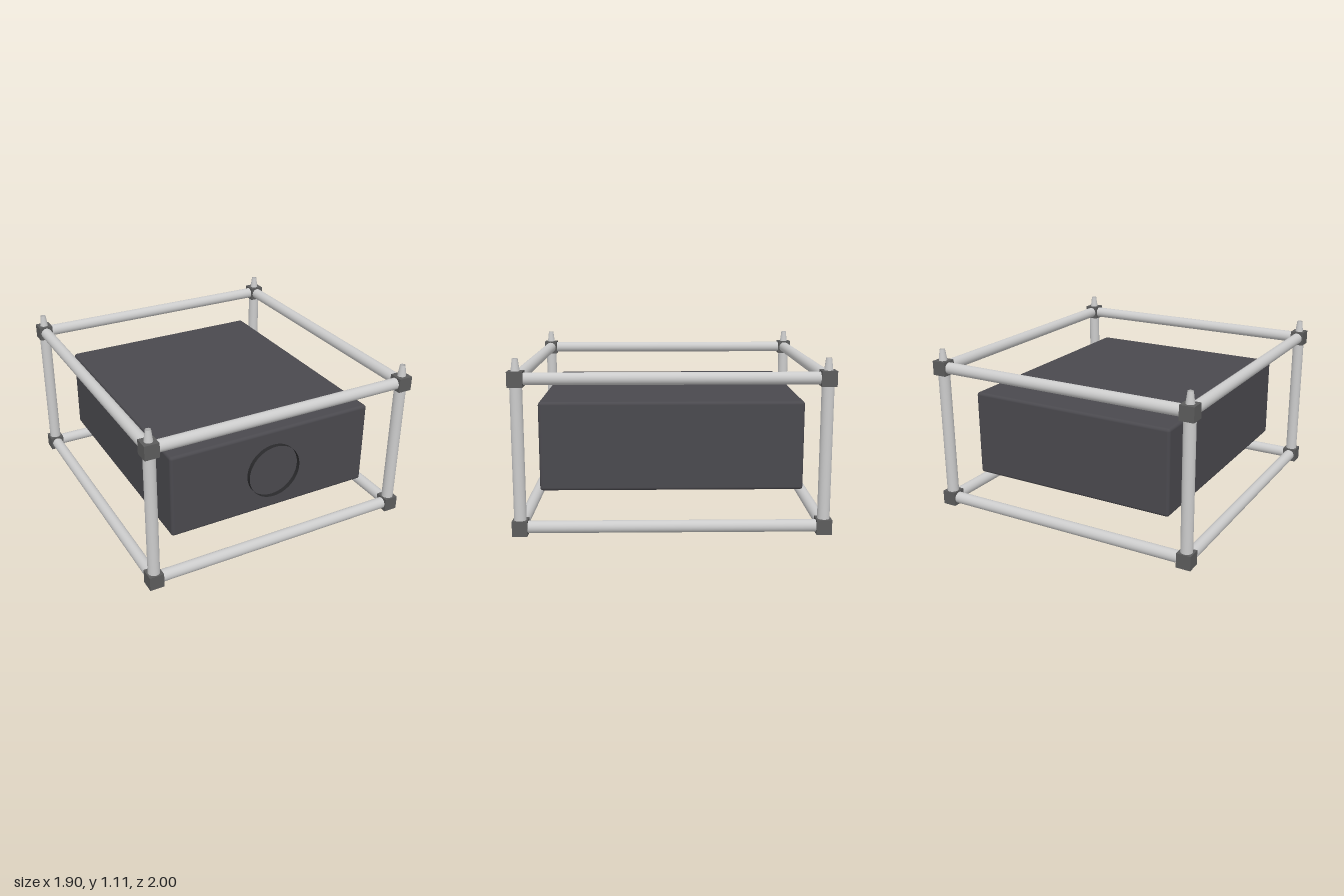
import * as THREE from 'three';
import { RoundedBoxGeometry } from 'three/addons/geometries/RoundedBoxGeometry.js';

const X = 0.902, Z = 0.952, Y0 = 0.048, Y1 = 0.987; // frame corner centres
const BLOCK = 0.096, TUBE_R = 0.039;

export function createModel() {
  const model = new THREE.Group();
  const tubeMat = new THREE.MeshStandardMaterial({ color: 0xcccccc });
  const pinMat = new THREE.MeshStandardMaterial({ color: 0xcccccc, side: THREE.DoubleSide });
  const blockMat = new THREE.MeshStandardMaterial({ color: 0x5c5c5c });
  const bodyMat = new THREE.MeshStandardMaterial({ color: 0x4a494e });
  const ringMat = new THREE.MeshStandardMaterial({ color: 0x2a2a2c, side: THREE.DoubleSide });

  const add = (parent, name, geometry, material, x, y, z) => {
    const mesh = new THREE.Mesh(geometry, material);
    mesh.name = name;
    mesh.position.set(x, y, z);
    parent.add(mesh);
    return mesh;
  };

  // Housing with softly rounded edges and a thin open ring on the front
  add(model, 'housing', new RoundedBoxGeometry(1.45, 0.58, 1.7, 3, 0.02), bodyMat, 0, 0.52, 0);
  const ring = new THREE.CylinderGeometry(0.187, 0.187, 0.04, 48, 1, true).rotateX(Math.PI / 2);
  add(model, 'frontRing', ring, ringMat, 0, 0.52, 0.86);

  // Cage around the housing
  const frame = new THREE.Group();
  frame.name = 'frame';
  model.add(frame);

  const tube = (length) => new THREE.CylinderGeometry(TUBE_R, TUBE_R, length, 24);
  const railX = tube(2 * X).rotateZ(Math.PI / 2);
  const railZ = tube(2 * Z).rotateX(Math.PI / 2);
  const post = tube(Y1 - Y0);
  const block = new THREE.BoxGeometry(BLOCK, BLOCK, BLOCK);
  const pin = new THREE.CylinderGeometry(0.018, 0.028, 0.076, 20, 1, true);

  for (const y of [Y0, Y1]) {
    for (const s of [-1, 1]) {
      add(frame, 'crossRail', railX, tubeMat, 0, y, s * Z);
      add(frame, 'sideRail', railZ, tubeMat, s * X, y, 0);
    }
  }
  for (const sx of [-1, 1]) {
    for (const sz of [-1, 1]) {
      add(frame, 'cornerPost', post, tubeMat, sx * X, (Y0 + Y1) / 2, sz * Z);
      for (const y of [Y0, Y1]) add(frame, 'cornerBlock', block, blockMat, sx * X, y, sz * Z);
      add(frame, 'stackingPin', pin, pinMat, sx * X, Y1 + BLOCK / 2 + 0.038, sz * Z);
    }
  }
  return model;
}
